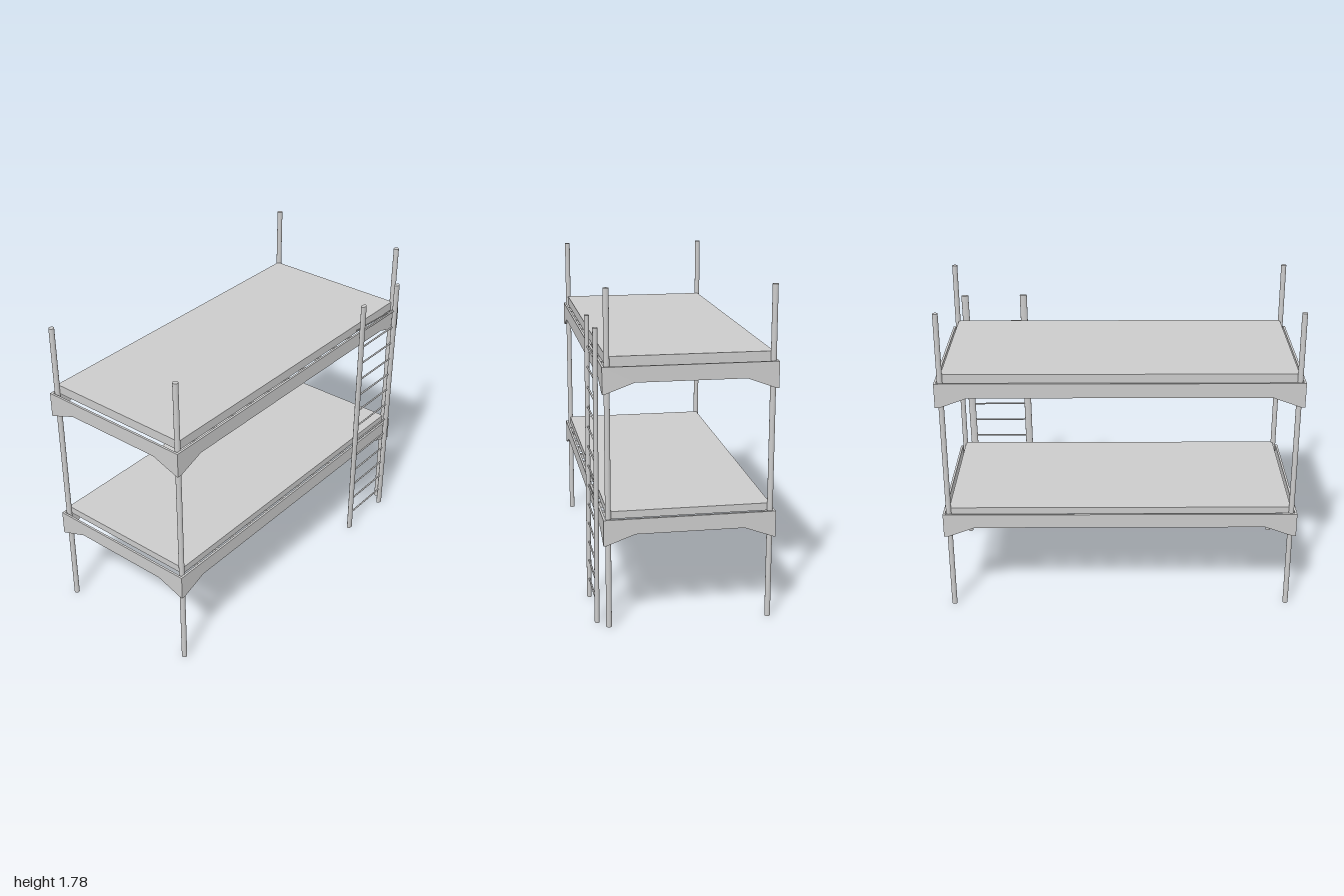
import * as THREE from 'three';

const material = new THREE.MeshStandardMaterial({ color: 0xcccccc });
const X0 = -0.475, X1 = 0.43, CX = (X0 + X1) / 2, T = 0.012;

function add(parent, geometry, name, x = 0, y = 0, z = 0) {
  const mesh = new THREE.Mesh(geometry, material);
  mesh.name = name;
  mesh.position.set(x, y, z);
  parent.add(mesh);
  return mesh;
}

// Round bar between two points, optionally flattened along x
function bar(parent, a, b, radius, name, flat = 1, sides = 12) {
  const dir = b.clone().sub(a);
  const mesh = add(parent, new THREE.CylinderGeometry(radius, radius, dir.length(), sides), name);
  mesh.position.copy(a).add(b).multiplyScalar(0.5);
  mesh.quaternion.setFromUnitVectors(new THREE.Vector3(0, 1, 0), dir.normalize());
  mesh.scale.x = flat;
  return mesh;
}

// Board with a sloping bracket dropping at each end; y = 0 is its top edge
function railGeometry(length) {
  const h = length / 2, low = -0.14, mid = -0.083, run = 0.165;
  const shape = new THREE.Shape([
    [-h, 0], [-h, low], [-h + 0.01, low], [-h + run, mid],
    [h - run, mid], [h - 0.01, low], [h, low], [h, 0],
  ].map(([x, y]) => new THREE.Vector2(x, y)));
  return new THREE.ExtrudeGeometry(shape, { depth: T, bevelEnabled: false }).translate(0, 0, -T / 2);
}

function createBunk(name, top, mattressTop) {
  const bunk = new THREE.Group();
  bunk.name = name;
  bunk.position.y = top;

  // Side and end rails
  for (const x of [X0 + T / 2, X1 - T / 2]) {
    add(bunk, railGeometry(2 - 2 * T), 'sideRail', x).rotation.y = Math.PI / 2;
  }
  for (const s of [-1, 1]) add(bunk, railGeometry(X1 - X0), 'endRail', CX, 0, s * (1 - T / 2));

  // Mattress resting on cross slats
  const bottom = -0.006, height = mattressTop - top - bottom;
  add(bunk, new THREE.BoxGeometry(0.857, height, 1.925), 'mattress', CX - 0.001, bottom + height / 2, 0);
  const slat = new THREE.BoxGeometry(X1 - X0 - 2 * T, 0.03, 0.02);
  for (let i = 0; i < 12; i++) add(bunk, slat, 'slat', CX, bottom - 0.015, (i - 5.5) * 0.152);
  return bunk;
}

function createLadder() {
  const ladder = new THREE.Group();
  ladder.name = 'ladder';
  const V = (x, y, z) => new THREE.Vector3(x, y, z);

  // Slightly leaning oval poles
  const poles = [
    [V(0.461, 0.005, -0.566), V(0.455, 1.585, -0.576)],
    [V(0.459, 0.005, -0.909), V(0.453, 1.582, -0.926)],
  ];
  for (const [a, b] of poles) bar(ladder, a, b, 0.021, 'ladderPole', 0.6, 20);

  // Rungs
  for (let i = 0; i < 13; i++) {
    const t = (0.11 + i * 0.1092) / 1.585;
    const [a, b] = poles.map(([p, q]) => p.clone().lerp(q, t));
    bar(ladder, a, b, 0.005, 'rung', 1, 8);
  }

  // Thin bar by the upper rail
  bar(ladder, V(0.428, 1.425, -0.555), V(0.438, 1.415, -0.865), 0.004, 'supportBar', 1, 8);
  return ladder;
}

export function createModel() {
  const model = new THREE.Group();
  model.name = 'bunkBed';

  // Corner posts
  const post = new THREE.CylinderGeometry(0.015, 0.015, 1.785, 20);
  for (const x of [X0 + T + 0.0125, X1 - T - 0.015]) {
    for (const z of [-0.968, 0.968]) add(model, post, 'post', x, 0.8925, z);
  }

  model.add(createBunk('lowerBunk', 0.598, 0.632));
  model.add(createBunk('upperBunk', 1.396, 1.442));
  model.add(createLadder());
  return model;
}
